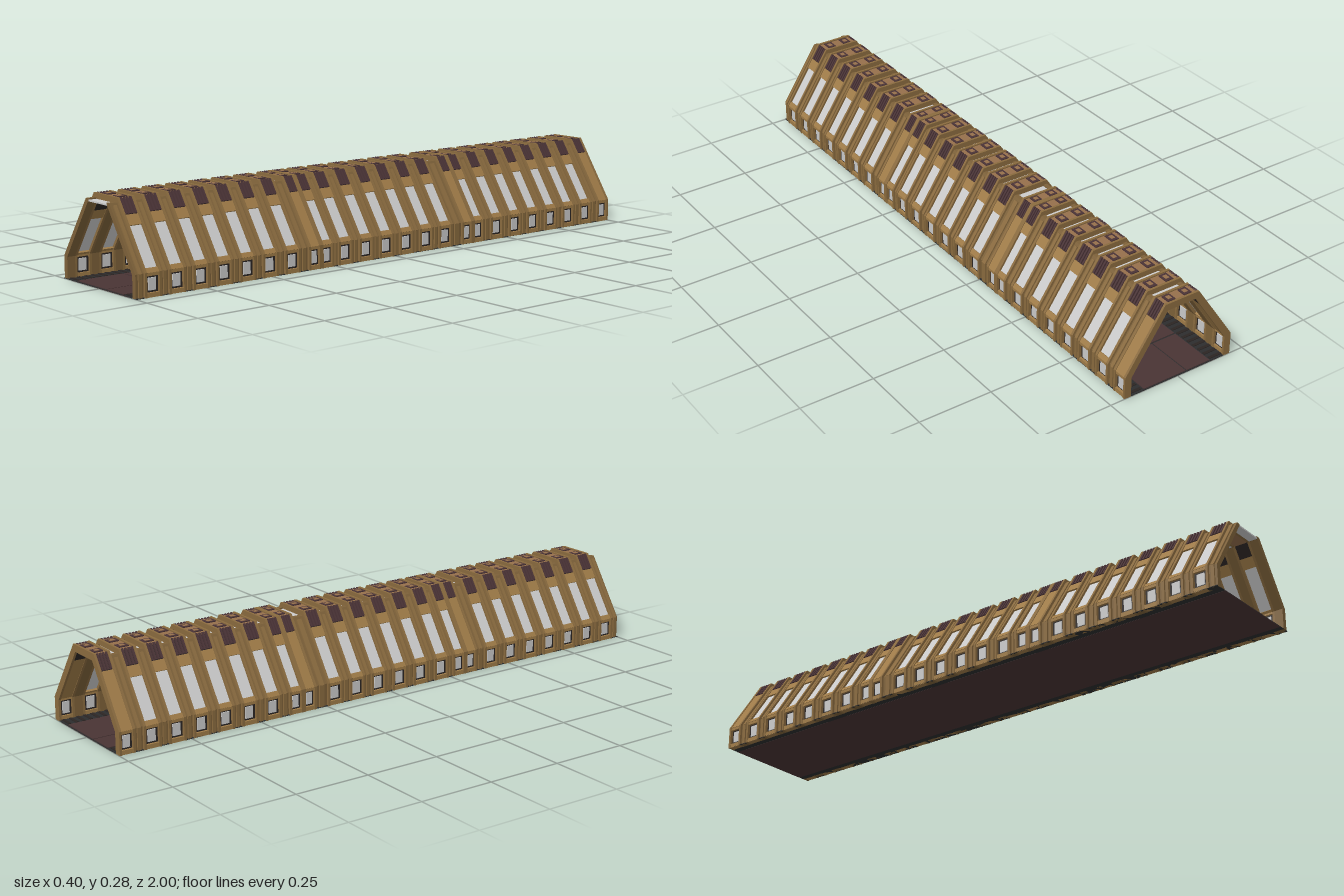
import * as THREE from 'three';

const mat = (color) => new THREE.MeshStandardMaterial({ color, flatShading: true });
const M = {
  rail: mat(0x8a6b3f), panel: mat(0xa07c48), rib: mat(0x7d6139), dark: mat(0x2b2523),
  louver: mat(0x4a3336), cap: mat(0x96704c), glass: mat(0xcccccc), floor: mat(0x493434), grate: mat(0x2c2d2e),
};

// Half profiles, bottom to ridge edge
const OUTER = [[0.2, 0], [0.2, 0.075], [0.063, 0.28]];
const RECESS = [[0.192, 0], [0.192, 0.073], [0.063, 0.266]];
const INNER = [[0.176, 0], [0.176, 0.069], [0.052, 0.257]];
const DIR = new THREE.Vector2(-0.137, 0.205);
const SLOPE = DIR.length();
DIR.normalize();
const TILT = Math.atan2(-DIR.x, DIR.y);

function box(parent, name, material, x0, x1, y0, y1, z, depth) {
  const m = new THREE.Mesh(new THREE.BoxGeometry(x1 - x0, y1 - y0, depth), material);
  m.position.set((x0 + x1) / 2, (y0 + y1) / 2, z);
  m.name = name;
  parent.add(m);
  return m;
}

// Same wall box on both sides
function wall(parent, name, material, x0, x1, y0, y1, z, depth) {
  box(parent, name, material, x0, x1, y0, y1, z, depth);
  box(parent, name, material, -x1, -x0, y0, y1, z, depth);
}

// Slab lying in both sloped sides: u runs up the slope, n is depth below the outer face
function slab(parent, name, material, u0, u1, n0, n1, z, depth) {
  const u = (u0 + u1) / 2, n = (n0 + n1) / 2;
  for (const s of [1, -1]) {
    const m = new THREE.Mesh(new THREE.BoxGeometry(n1 - n0, u1 - u0, depth), material);
    m.position.set(s * (0.2 + DIR.x * u - DIR.y * n), 0.075 + DIR.y * u + DIR.x * n, z);
    m.rotation.z = s * TILT;
    m.name = name;
    parent.add(m);
  }
}

function extrude(parent, name, material, pts, z, depth) {
  const shape = new THREE.Shape(pts.map(([x, y]) => new THREE.Vector2(x, y)));
  const m = new THREE.Mesh(new THREE.ExtrudeGeometry(shape, { depth, bevelEnabled: false }), material);
  m.position.z = z - depth / 2;
  m.name = name;
  parent.add(m);
}

const mirror = (pts) => pts.map(([x, y]) => [-x, y]);

// Full arch from wall to wall
function arch(parent, name, material, z, depth) {
  const full = (p) => [...p, ...mirror(p).reverse()];
  extrude(parent, name, material, [...full(OUTER), ...full(INNER).reverse()], z, depth);
}

// Raised bay with windows, louvers and roof cap
function bay(z, width, solid) {
  const g = new THREE.Group();
  g.name = solid ? 'solidBay' : 'windowBay';
  const r = 0.008, w = width - 2 * r;
  for (const s of [-1, 1]) arch(g, 'archRail', M.rail, z + s * (width - r) / 2, r);

  // Lower wall with small window
  wall(g, 'wallSill', M.panel, 0.178, 0.198, 0, 0.014, z, w);
  wall(g, 'wallHead', M.panel, 0.178, 0.198, 0.064, 0.073, z, w);
  wall(g, 'smallWindowFrame', M.dark, 0.184, 0.19, 0.014, 0.064, z, w);
  wall(g, 'smallWindow', M.glass, 0.181, 0.193, 0.02, 0.058, z, w * 0.62);

  // Sloped side
  if (solid) {
    slab(g, 'slopePanel', M.panel, 0, 0.19, 0.002, 0.021, z, w);
  } else {
    slab(g, 'slopeSill', M.panel, 0, 0.016, 0.002, 0.021, z, w);
    slab(g, 'slopeWindow', M.glass, 0.016, 0.155, 0.007, 0.014, z, w);
    slab(g, 'slopeHead', M.panel, 0.155, 0.19, 0.002, 0.021, z, w);
  }
  slab(g, 'louverBase', M.dark, 0.19, SLOPE - 0.004, 0.007, 0.021, z, w);
  for (let i = 0; i < 4; i++)
    slab(g, 'louverFin', M.louver, 0.192, SLOPE, 0, 0.008, z + (i - 1.5) * w / 4, w / 7);

  // Roof cap with two small hatches
  box(g, 'roofCap', M.cap, -0.06, 0.06, 0.258, 0.276, z, w);
  for (const s of [-1, 1]) {
    box(g, 'roofHatch', M.louver, s * 0.03 - 0.014, s * 0.03 + 0.014, 0.274, 0.279, z, w * 0.8);
    box(g, 'roofHatchLid', M.cap, s * 0.03 - 0.007, s * 0.03 + 0.007, 0.276, 0.28, z, w * 0.4);
  }
  return g;
}

// Recessed joint between bays with a skylight
function joint(z0, z1) {
  const g = new THREE.Group(), z = (z0 + z1) / 2, d = z1 - z0;
  g.name = 'joint';
  const half = [...RECESS, ...[...INNER].reverse()];
  extrude(g, 'jointWall', M.rib, half, z, d);
  extrude(g, 'jointWall', M.rib, mirror(half), z, d);
  wall(g, 'jointRib', M.rail, 0.19, 0.197, 0, 0.073, z, d * 0.4);
  slab(g, 'jointRib', M.rail, 0, 0.225, 0.003, 0.01, z, d * 0.4);
  box(g, 'skylight', M.glass, -0.05, 0.05, 0.257, 0.262, z, d);
  for (const s of [-1, 1]) box(g, 'skylightEdge', M.rib, s * 0.056 - 0.007, s * 0.056 + 0.007, 0.257, 0.266, z, d);
  return g;
}

export function createModel() {
  const model = new THREE.Group();
  model.name = 'corridor';

  // Bay list from front to back: [centre, width, solid]
  const bays = [];
  const run = (start, count, step) => {
    for (let i = 0; i < count; i++) bays.push([start - i * step, 0.06, false]);
  };
  run(0.942, 7, 0.0865);
  bays.push([0.335, 0.05, true], [0.284, 0.052, false]);
  run(0.21, 6, 0.0857);
  bays.push([-0.317, 0.05, true], [-0.368, 0.052, false]);
  run(-0.454, 6, 0.0865);
  bays.push([-0.9725, 0.055, true]);

  let front = 1;
  for (const [z, w, solid] of bays) {
    if (front - (z + w / 2) > 0.004) model.add(joint(z + w / 2, front));
    model.add(bay(z, w, solid));
    front = z - w / 2;
  }

  // Floor: base, side grates and staggered plates
  const floor = new THREE.Group();
  floor.name = 'floor';
  box(floor, 'floorBase', M.grate, -0.198, 0.198, 0, 0.002, 0, 2);
  box(floor, 'floorUnderside', M.floor, -0.155, 0.155, -0.0005, 0.001, 0, 2);
  for (let i = 0; i < 12; i++) {
    const z = -1 + (i + 0.5) / 6, shift = i % 2 ? 0.035 : -0.035;
    box(floor, 'floorPlate', M.floor, -0.125, shift - 0.002, 0.002, 0.004, z, 0.161);
    box(floor, 'floorPlate', M.floor, shift + 0.002, 0.125, 0.002, 0.004, z, 0.161);
  }
  for (let i = 0; i < 80; i++)
    wall(floor, 'grateBar', M.dark, 0.13, 0.176, 0.002, 0.004, -0.9875 + i * 0.025, 0.01);
  model.add(floor);
  return model;
}
